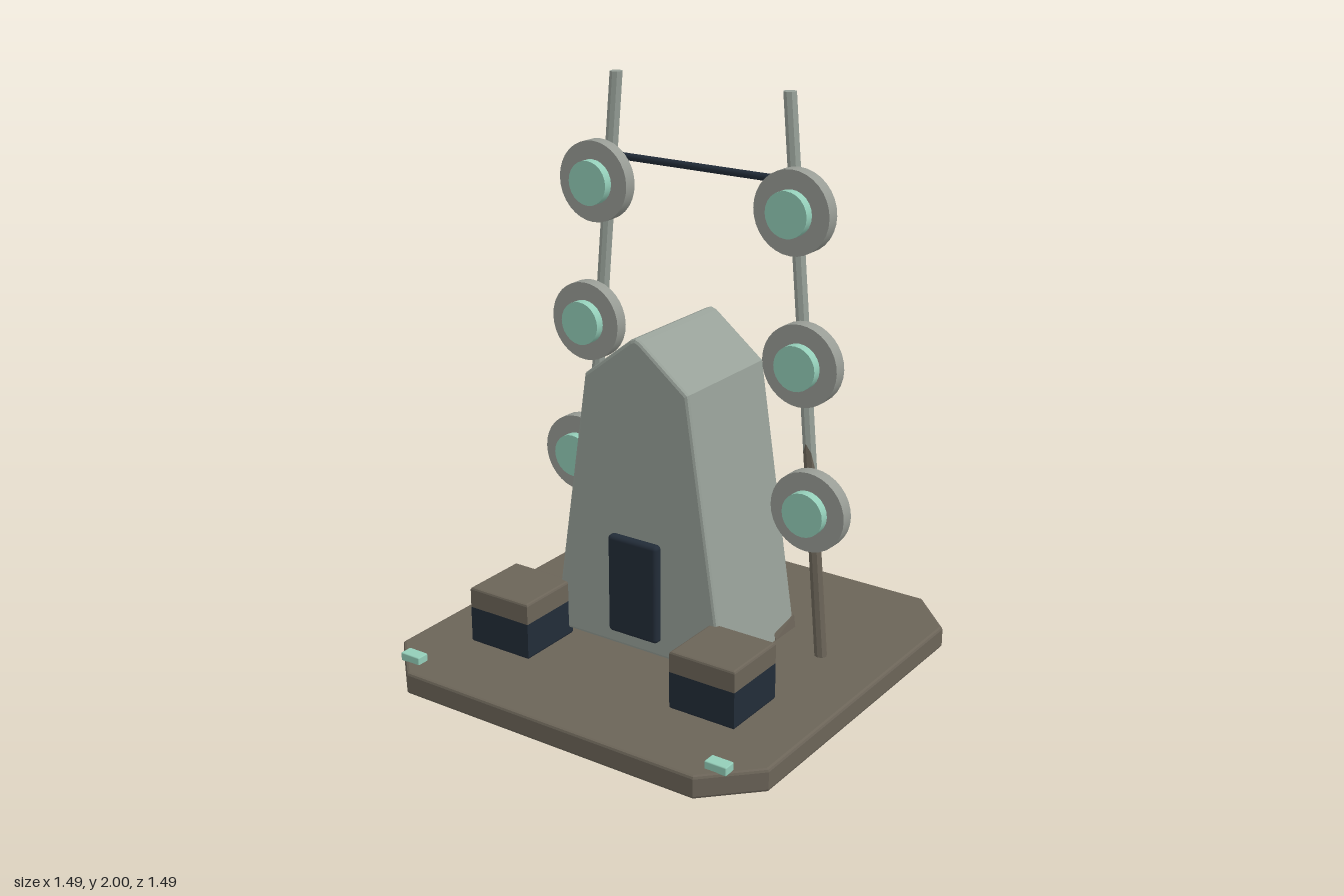
import * as THREE from 'three';
import { RoundedBoxGeometry } from 'three/addons/geometries/RoundedBoxGeometry.js';

const mat = (name, color) => {
  const m = new THREE.MeshStandardMaterial({ color });
  m.name = name;
  return m;
};

export function createModel() {
  const model = new THREE.Group();
  const brown = mat('brown', 0x6b6458);
  const grey = mat('grey', 0x97a098);
  const discGrey = mat('discGrey', 0x989c95);
  const teal = mat('teal', 0x93cdb8);
  const dark = mat('dark', 0x222c38);

  const add = (name, geometry, material, x = 0, y = 0, z = 0) => {
    const mesh = new THREE.Mesh(geometry, material);
    mesh.name = name;
    mesh.position.set(x, y, z);
    model.add(mesh);
    return mesh;
  };
  // Extruded outline with a small inset bevel, spanning 0..depth along z
  const slab = (points, depth, bevel) => {
    const shape = new THREE.Shape(points.map(([x, y]) => new THREE.Vector2(x, y)));
    const g = new THREE.ExtrudeGeometry(shape, {
      depth: depth - 2 * bevel, bevelEnabled: bevel > 0, bevelSize: bevel,
      bevelThickness: bevel, bevelOffset: -bevel, bevelSegments: 2,
    });
    return g.translate(0, 0, bevel);
  };

  // Base plate with cut corners
  const a = 0.747, b = 0.58;
  const base = slab([[b, -a], [a, -b], [a, b], [b, a], [-b, a], [-a, b], [-a, -b], [-b, -a]], 0.08, 0.01);
  add('basePlate', base.rotateX(-Math.PI / 2), brown);

  // Tapered tower with a pitched top
  add('tower', slab([[-0.35, 0.115], [0.35, 0.115], [0.205, 1.07], [0.02, 1.216], [0, 1.224], [-0.02, 1.216], [-0.205, 1.07]],
    0.455, 0.012), grey, 0, 0, -0.225);
  // Brown skirt around the lower rear of the tower, tapering forward
  const skirt = slab([[-0.352, 0.114], [0.352, 0.114], [0.346, 0.16], [-0.346, 0.16]], 0.13, 0);
  const sp = skirt.attributes.position;
  for (let i = 0; i < sp.count; i++) {
    if (sp.getZ(i) > 0.1 && sp.getY(i) > 0.15) sp.setY(i, 0.14);
  }
  skirt.computeVertexNormals();
  add('towerSkirt', skirt, brown, 0, 0, -0.228);
  // Door panel
  add('door', new RoundedBoxGeometry(0.2, 0.355, 0.04, 2, 0.014), dark, 0, 0.35, 0.238);

  // Leaning pole section; the joint between the colours is slanted front to back
  const poleX = (y) => 0.505 - 0.0877 * (y - 0.085);
  const pole = (side, y0, y1, slant0, slant1) => {
    const g = new THREE.CylinderGeometry(0.022, 0.022, 1, 8).toNonIndexed();
    const p = g.attributes.position;
    for (let i = 0; i < p.count; i++) {
      const z = p.getZ(i);
      const y = p.getY(i) > 0 ? y1 + slant1 * z : y0 + slant0 * z;
      p.setXYZ(i, p.getX(i) + side * poleX(y), y, z);
    }
    g.computeVertexNormals();
    return g;
  };

  for (const side of [-1, 1]) {
    const tag = side > 0 ? 'left' : 'right';
    add(tag + 'PoleLower', pole(side, 0.085, 0.74, 0, 5), brown, 0, 0, -0.143);
    add(tag + 'PoleUpper', pole(side, 0.74, 2, 5, 0), grey, 0, 0, -0.143);

    // Three round lamps on each pole
    for (const y of [0.63, 1.13, 1.63]) {
      const x = side * (0.475 - 0.085 * (y - 0.63));
      add(tag + 'LampDisc', new THREE.CylinderGeometry(0.14, 0.14, 0.048, 32).rotateX(Math.PI / 2), discGrey, x, y, -0.099);
      add(tag + 'LampLens', new THREE.CylinderGeometry(0.077, 0.077, 0.04, 24).rotateX(Math.PI / 2), teal, x, y, -0.062);
    }

    // Two-tone crates: dark body, brown cap
    const crate = (name, y0, y1, material) => {
      const s = slab([[-0.124, -0.123], [0.124, -0.123], [0.124, 0.123], [-0.124, 0.123]], y1 - y0, 0.008);
      add(tag + name, s.rotateX(-Math.PI / 2), material, side * 0.415, y0, 0.332);
    };
    crate('CrateBody', 0.087, 0.226, dark);
    crate('CrateCap', 0.21, 0.292, brown);

    // Corner marker
    add(tag + 'Marker', new RoundedBoxGeometry(0.08, 0.03, 0.046, 1, 0.004), teal, side * 0.62, 0.091, 0.663);
  }

  // Crossbar between the poles
  add('crossbar', new THREE.CylinderGeometry(0.013, 0.013, 0.71, 8).rotateZ(Math.PI / 2), dark, 0, 1.715, -0.145);

  return model;
}
